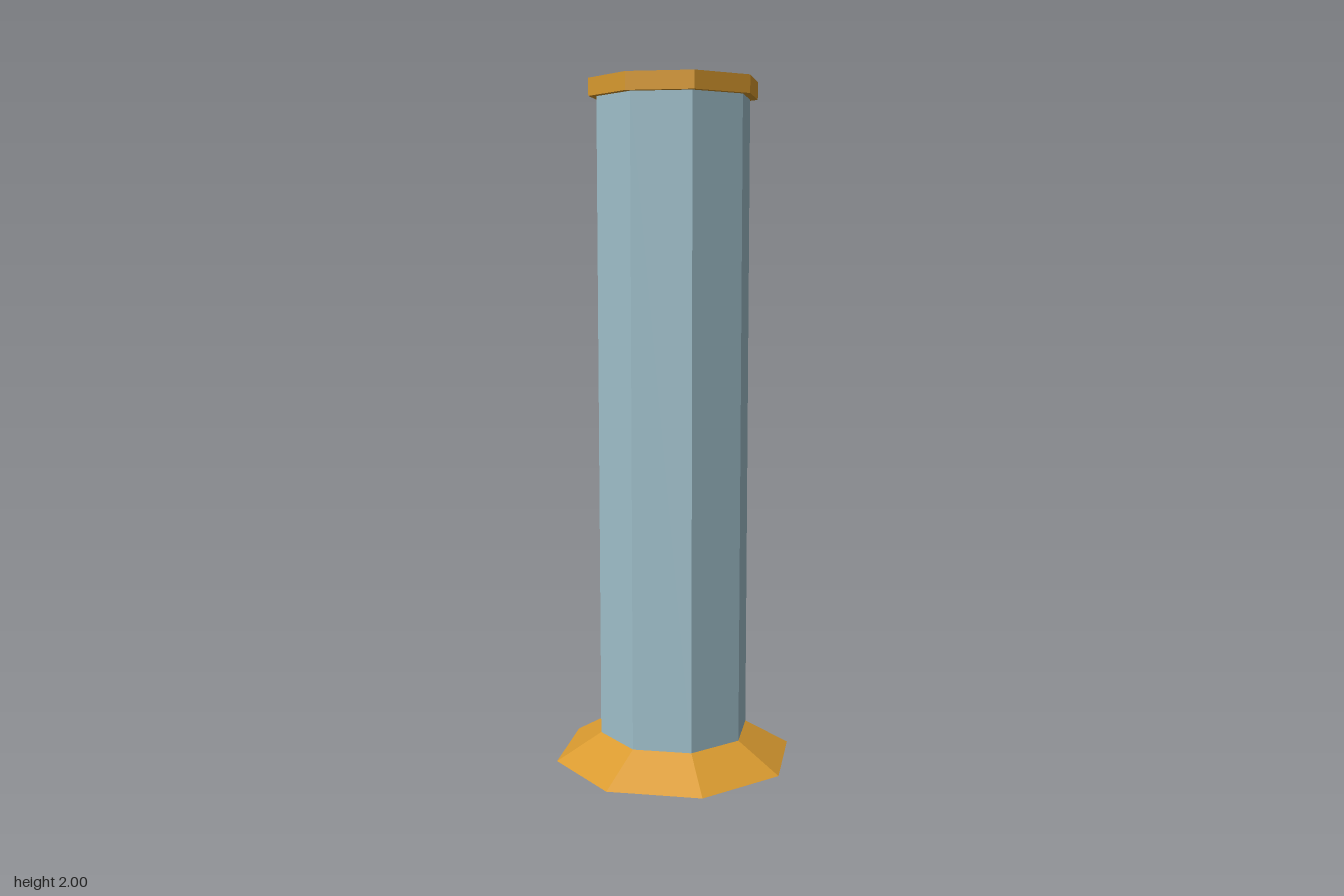
import * as THREE from 'three';

const SIDES = 8;
const blue = new THREE.MeshStandardMaterial({ color: 0x9fbfca, flatShading: true });
const gold = new THREE.MeshStandardMaterial({ color: 0xd99a2f, flatShading: true });

// Turns a [radius, y] profile into a named eight-sided part
function turned(name, profile, material) {
  const points = profile.map(([r, y]) => new THREE.Vector2(r, y));
  const mesh = new THREE.Mesh(new THREE.LatheGeometry(points, SIDES), material);
  mesh.name = name;
  return mesh;
}

export function createModel() {
  const group = new THREE.Group();
  group.name = 'octagonalTube';

  const foot = 0.36, outer = 0.225, inner = 0.177, rim = 0.248;
  const baseTop = 0.08, rimBottom = 1.95, top = 2;

  // Flared foot, whose top closes the bottom of the tube
  const base = new THREE.Mesh(new THREE.CylinderGeometry(outer, foot, baseTop, SIDES), gold);
  base.position.y = baseTop / 2;
  base.name = 'base';
  group.add(base);

  // Hollow shaft: outer wall and inner wall
  group.add(turned('shaftOuterWall', [[outer, baseTop], [outer, rimBottom]], blue));
  group.add(turned('shaftInnerWall', [[inner, top], [inner, baseTop]], blue));

  // Collar around the mouth
  group.add(turned('rim', [[outer, rimBottom], [rim, rimBottom], [rim, top], [inner, top]], gold));

  return group;
}
